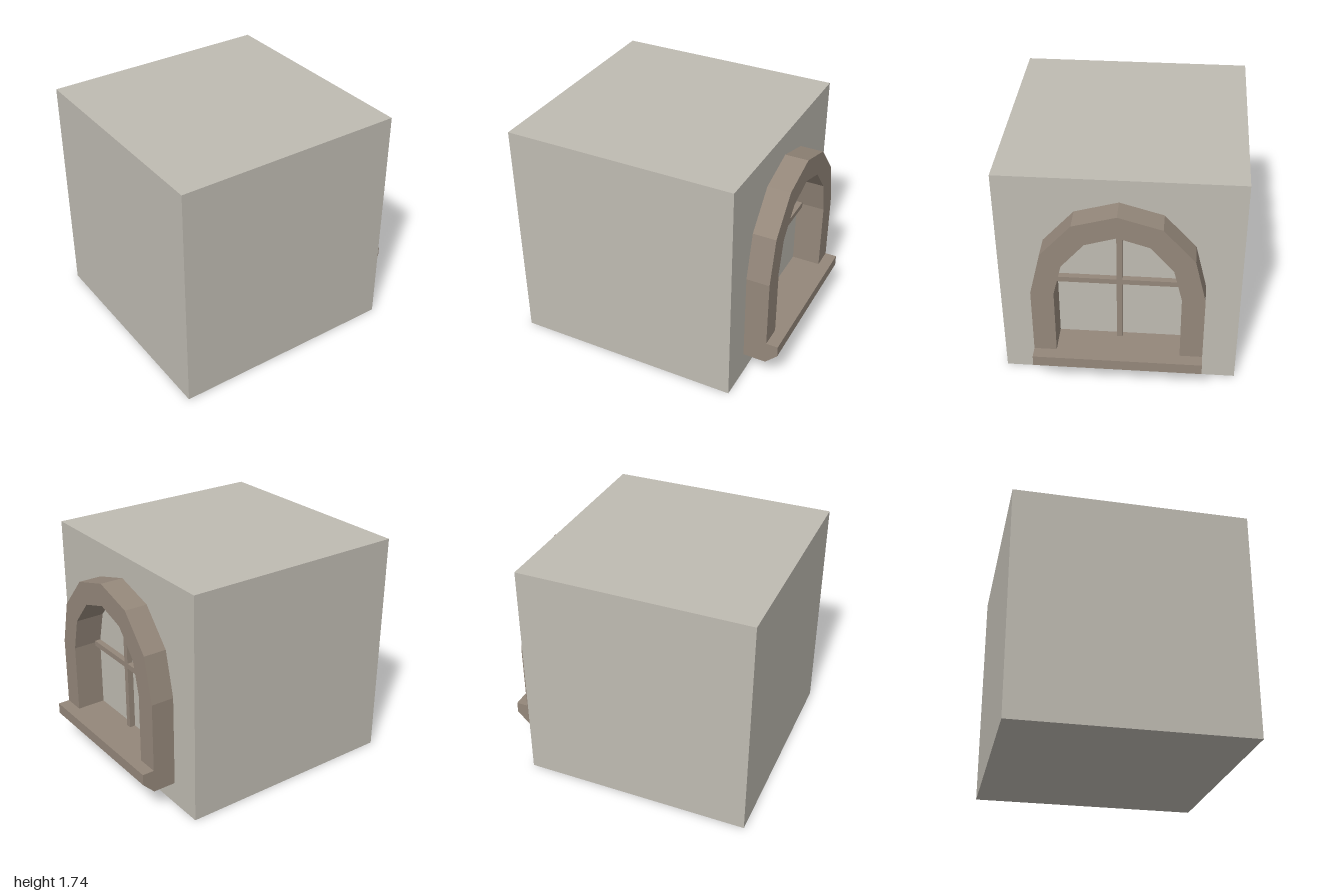
import * as THREE from 'three';

const WALL_X = 0.735;   // outer wall face
const PANE_X = 0.69;    // recessed face behind the bars
const SILL_Y = 0.35;    // top of the sill

// Mirror the right half of an arch (foot to apex) into a full outline
function archPoints(half) {
  const right = half.map(([x, y]) => new THREE.Vector2(x, y));
  const left = half.slice(0, -1).reverse().map(([x, y]) => new THREE.Vector2(-x, y));
  return [...right, ...left];
}

// Extrude an outline drawn on the window wall from x0 to x1
function extrudeAlongX(shape, x0, x1) {
  const geo = new THREE.ExtrudeGeometry(shape, { depth: x1 - x0, bevelEnabled: false });
  return geo.rotateY(Math.PI / 2).translate(x0, 0, 0);
}

export function createModel() {
  const group = new THREE.Group();
  const stone = new THREE.MeshStandardMaterial({ color: 0xbfbbb2, flatShading: true });
  stone.name = 'wallGrey';
  const wood = new THREE.MeshStandardMaterial({ color: 0x94877a, flatShading: true });
  wood.name = 'frameBrown';

  const add = (name, geo, mat) => {
    const mesh = new THREE.Mesh(geo, mat);
    mesh.name = name;
    group.add(mesh);
  };
  const addBox = (name, mat, x0, x1, y0, y1, z0, z1) => add(name,
    new THREE.BoxGeometry(x1 - x0, y1 - y0, z1 - z0)
      .translate((x0 + x1) / 2, (y0 + y1) / 2, (z0 + z1) / 2), mat);

  const outerArch = [[0.615, 0.88], [0.535, 1.22], [0.31, 1.475], [0, 1.565]];
  const innerArch = [[0.45, 0.88], [0.39, 1.13], [0.225, 1.325], [0, 1.395]];

  // Wall block, with a thin outer layer cut out around the window
  addBox('wallBlock', stone, -1, PANE_X, 0, 1.74, -0.87, 0.87);
  const face = new THREE.Shape([[-0.87, 0], [0.87, 0], [0.87, 1.74], [-0.87, 1.74]]
    .map(([x, y]) => new THREE.Vector2(x, y)));
  face.holes.push(new THREE.Path(archPoints([[0.615, 0.175], ...outerArch])));
  add('wallFace', extrudeAlongX(face, PANE_X, WALL_X), stone);

  // Arched surround, open at the foot where it stands on the sill
  const outer = archPoints([[0.615, SILL_Y], ...outerArch]);
  const inner = archPoints([[0.45, SILL_Y], ...innerArch]).reverse();
  add('archFrame', extrudeAlongX(new THREE.Shape([...outer, ...inner]), PANE_X, 0.91), wood);

  // Sill with a chamfered underside
  const sill = new THREE.Shape([[PANE_X, 0.175], [0.91, 0.175], [1, 0.265], [1, SILL_Y], [PANE_X, SILL_Y]]
    .map(([x, y]) => new THREE.Vector2(x, y)));
  add('sill', new THREE.ExtrudeGeometry(sill, { depth: 1.23, bevelEnabled: false })
    .translate(0, 0, -0.615), wood);

  // Glazing bars
  addBox('verticalBar', wood, PANE_X, WALL_X, SILL_Y, 1.395, -0.021, 0.021);
  for (const [name, z0, z1] of [['leftCrossBar', -0.45, -0.021], ['rightCrossBar', 0.021, 0.45]]) {
    addBox(name, wood, PANE_X, WALL_X, 0.852, 0.894, z0, z1);
  }
  return group;
}
